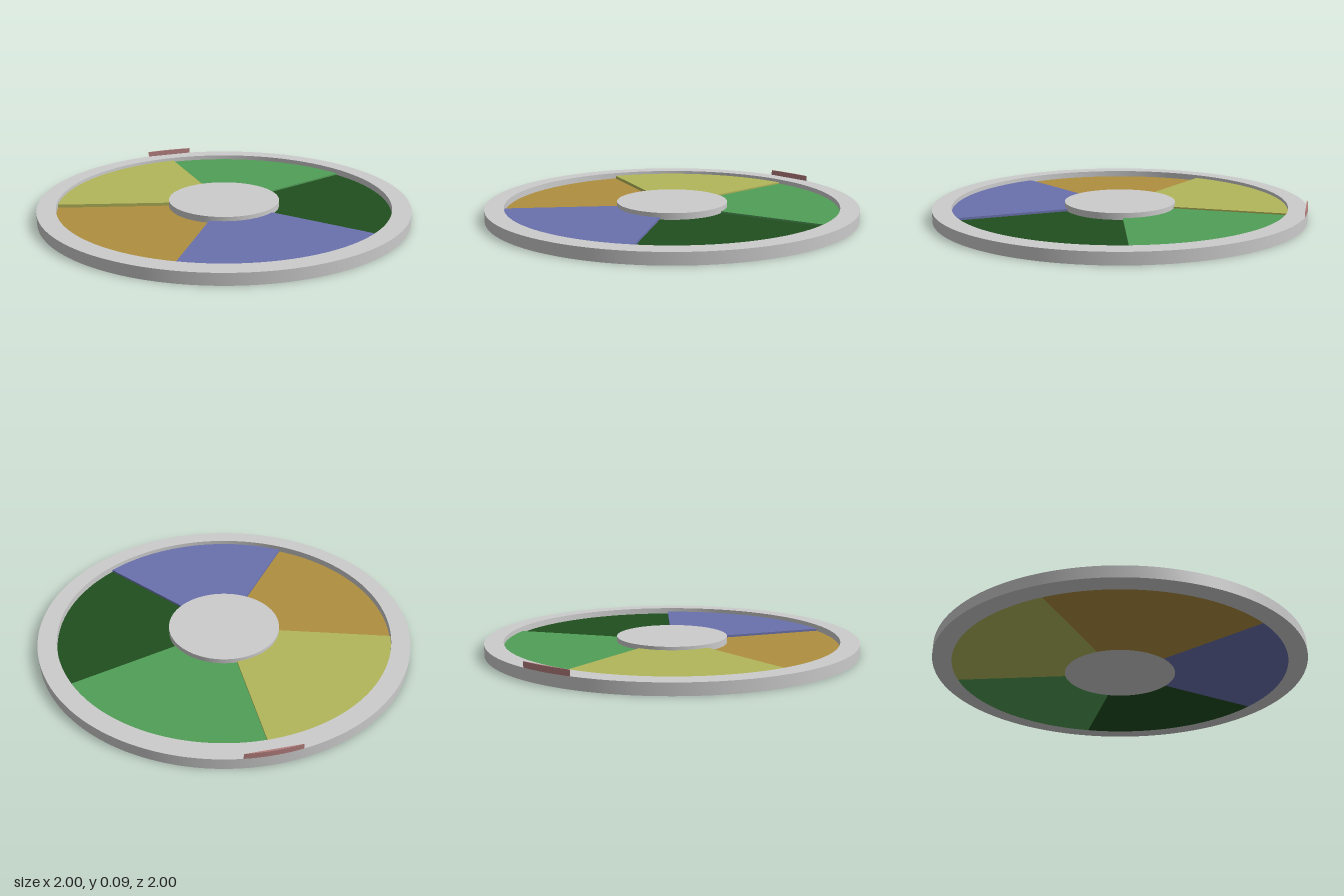
import * as THREE from 'three';
import { toCreasedNormals } from 'three/addons/utils/BufferGeometryUtils.js';

const HEIGHT = 0.06, RIM_INNER = 0.9, HUB = 0.3;
const rad = THREE.MathUtils.degToRad;

// Extrudes a plan shape (x right, y towards the back) straight up from height y
function slab(name, shape, y, height, color, curveSegments = 96) {
  const flat = new THREE.ExtrudeGeometry(shape, { depth: height, bevelEnabled: false, curveSegments });
  flat.rotateX(-Math.PI / 2);
  const mesh = new THREE.Mesh(toCreasedNormals(flat, 0.5), new THREE.MeshStandardMaterial({ color }));
  mesh.name = name;
  mesh.position.y = y;
  return mesh;
}

function disc(radius) {
  return new THREE.Shape().absarc(0, 0, radius, 0, Math.PI * 2, false);
}

// Ring sector between two angles in degrees
function sector(from, to) {
  const s = new THREE.Shape();
  s.absarc(0, 0, RIM_INNER, rad(from), rad(to), false);
  s.absarc(0, 0, HUB, rad(to), rad(from), true);
  s.closePath();
  return s;
}

export function createModel() {
  const model = new THREE.Group();
  model.name = 'segmentedWheel';

  // Outer rim and central hub
  const ring = disc(1);
  ring.holes.push(disc(RIM_INNER));
  model.add(slab('rim', ring, 0, HEIGHT, 0xcccccc));
  model.add(slab('hub', disc(HUB), 0, HEIGHT, 0xcccccc));

  // Five coloured sectors of differing thickness, clockwise from the back
  const sectors = [
    ['greenSector', 0x519e56, 0.034],
    ['darkGreenSector', 0x204f1e, 0.025],
    ['blueSector', 0x6a71ad, 0.037],
    ['orangeSector', 0xaf8e3f, 0.025],
    ['yellowSector', 0xb3b659, 0.042],
  ];
  sectors.forEach(([name, color, height], i) => {
    const end = 90 - i * 72;
    model.add(slab(name, sector(end - 72, end), 0, height, color, 32));
  });

  // Pointer wedge lying on the rim, tip towards the hub
  const half = Math.asin(0.14);
  const wedge = new THREE.Shape();
  wedge.moveTo(0, 0.705);
  wedge.absarc(0, 0, 1, Math.PI / 2 - half, Math.PI / 2 + half, false);
  wedge.closePath();
  model.add(slab('pointer', wedge, HEIGHT, 0.03, 0xb37f7d, 12));

  return model;
}
